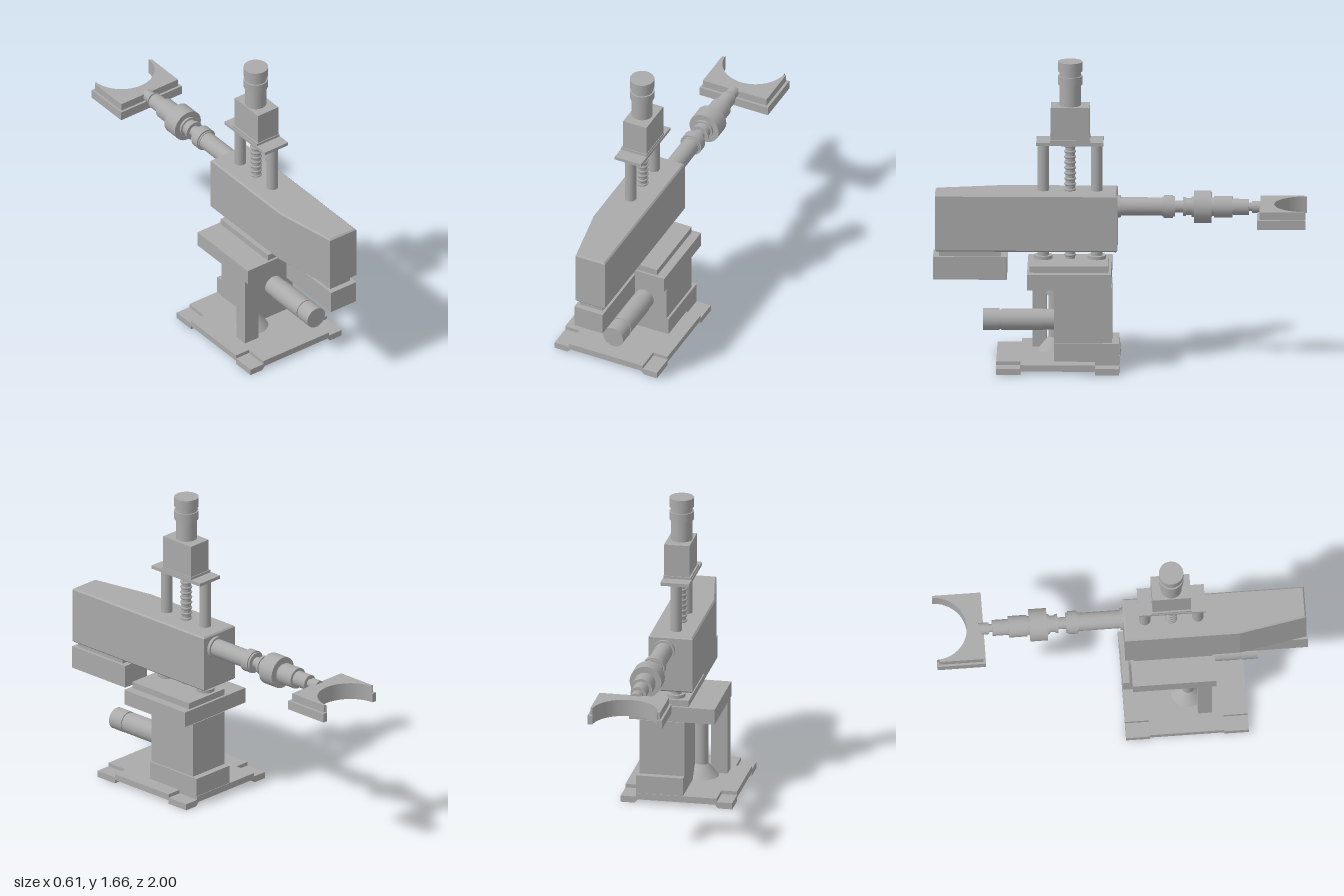
import * as THREE from 'three';

export function createModel() {
  const root = new THREE.Group();
  const grey = new THREE.MeshStandardMaterial({ color: 0xaaaaaa });
  grey.name = 'grey metal';

  const add = (name, geometry) => {
    const mesh = new THREE.Mesh(geometry, grey);
    mesh.name = name;
    root.add(mesh);
    return mesh;
  };
  // Box given by its limits on each axis
  const box = (name, [x0, x1], [y0, y1], [z0, z1]) => {
    const mesh = add(name, new THREE.BoxGeometry(x1 - x0, y1 - y0, z1 - z0));
    mesh.position.set((x0 + x1) / 2, (y0 + y1) / 2, (z0 + z1) / 2);
    return mesh;
  };
  // Upright cylinder or cone
  const post = (name, x, z, y0, y1, r, rTop = r) => {
    const mesh = add(name, new THREE.CylinderGeometry(rTop, r, y1 - y0, 32));
    mesh.position.set(x, (y0 + y1) / 2, z);
    return mesh;
  };
  // Cylinder lying along z
  const shaft = (name, x, y, z0, z1, r) => {
    const geometry = new THREE.CylinderGeometry(r, r, Math.abs(z1 - z0), 32).rotateX(Math.PI / 2);
    add(name, geometry).position.set(x, y, (z0 + z1) / 2);
  };
  // Plan outline (x, z) raised to a slab between two heights
  const slab = (name, shape, y0, y1, bevel = 0) => {
    const geometry = new THREE.ExtrudeGeometry(shape, {
      depth: y1 - y0 - 2 * bevel, curveSegments: 32, bevelEnabled: bevel > 0,
      bevelThickness: bevel, bevelSize: bevel, bevelOffset: -bevel, bevelSegments: 1,
    });
    geometry.rotateX(Math.PI / 2).translate(0, y1 - bevel, 0);
    return add(name, geometry);
  };

  // Base plate: cross-shaped slab with lower feet in the corners
  const cross = new THREE.Shape([
    [-0.22, 0], [0.22, 0], [0.22, 0.13], [0.305, 0.13], [0.305, 0.53], [0.22, 0.53],
    [0.22, 0.66], [-0.22, 0.66], [-0.22, 0.53], [-0.305, 0.53], [-0.305, 0.13], [-0.22, 0.13],
  ].map(([x, z]) => new THREE.Vector2(x, z)));
  slab('basePlate', cross, 0.02, 0.055);
  for (const s of [-1, 1]) {
    for (const end of [0, 1]) {
      const foot = box('foot', [-0.0475, 0.0475], [0, 0.035], [-0.065, 0.065]);
      // Slope the inner side of the foot
      const p = foot.geometry.attributes.position;
      for (let i = 0; i < p.count; i++) {
        if (p.getX(i) * s < 0) p.setX(i, -s * (p.getY(i) > 0 ? 0.06 : 0.03));
      }
      foot.geometry.computeVertexNormals();
      foot.position.set(s * 0.2575, 0.0175, end ? 0.595 : 0.065);
    }
  }

  // Pedestal
  box('pedestalFoot', [-0.035, 0.222], [0.055, 0.155], [0.003, 0.35]);
  box('pedestal', [-0.035, 0.21], [0.155, 0.46], [0.04, 0.35]);
  box('sideColumn', [-0.2, -0.11], [0.055, 0.46], [0.395, 0.47]);
  post('supportCone', -0.068, 0.35, 0.055, 0.125, 0.092, 0.036);
  post('supportRod', -0.068, 0.35, 0.12, 0.36, 0.036);
  post('supportSleeve', -0.068, 0.35, 0.355, 0.46, 0.045);

  // Horizontal drive motor
  shaft('driveMotor', 0.08, 0.253, 0.34, 0.41, 0.055);
  shaft('driveMotorBody', 0.08, 0.253, 0.41, 0.635, 0.058);
  shaft('driveMotorGroove', 0.08, 0.253, 0.635, 0.645, 0.053);
  shaft('driveMotorCap', 0.08, 0.253, 0.645, 0.733, 0.059);

  // Table plates
  box('tablePlate', [-0.2, 0.268], [0.46, 0.545], [0.045, 0.495]);
  box('upperPlate', [-0.055, 0.22], [0.545, 0.58], [0.06, 0.482]);

  // Guide rods with flanges, and the lead screw between them
  const cx = 0.027, cz = 0.267;
  for (const z of [0.125, 0.411]) {
    post('rodFlange', cx, z, 0.58, 0.598, 0.05);
    post('guideRod', cx, z, 0.58, 1.22, 0.031);
  }
  post('leadScrew', cx, cz, 0.58, 1.22, 0.026);
  for (let y = 0.6; y < 1.21; y += 0.03) {
    const ring = add('screwThread', new THREE.TorusGeometry(0.025, 0.008, 6, 24));
    ring.rotation.x = Math.PI / 2;
    ring.position.set(cx, y, cz);
  }

  // Top gearbox and lift motor
  box('gearboxPlate', [-0.05, 0.106], [1.216, 1.234], [0.088, 0.448]);
  box('gearboxFlange', [-0.047, 0.103], [1.234, 1.248], [0.157, 0.375]);
  box('gearbox', [-0.038, 0.1], [1.234, 1.425], [0.162, 0.37]);
  post('liftMotor', cx - 0.002, cz, 1.425, 1.54, 0.057);
  post('liftMotorRing', cx - 0.002, cz, 1.54, 1.587, 0.066);
  post('liftMotorNeck', cx - 0.002, cz, 1.587, 1.612, 0.058);
  post('liftMotorCap', cx - 0.002, cz, 1.612, 1.665, 0.066);

  // Arm housing, tapered on one side toward the front
  const plan = new THREE.Shape([
    [-0.086, 0.012], [0.155, 0.012], [0.155, 0.99], [-0.02, 0.99], [-0.086, 0.63],
  ].map(([x, z]) => new THREE.Vector2(x, z)));
  slab('armHousing', plan, 0.642, 0.955, 0.008);
  box('counterweightSpacer', [-0.004, 0.13], [0.605, 0.65], [0.64, 0.968]);
  box('counterweight', [-0.022, 0.147], [0.487, 0.612], [0.605, 1.0]);

  // Stepped gripper shaft: z start, z end, radius
  [
    [0.02, -0.005, 0.06], [0, -0.235, 0.049], [-0.228, -0.236, 0.053], [-0.236, -0.285, 0.062],
    [-0.285, -0.296, 0.055], [-0.29, -0.345, 0.032], [-0.34, -0.355, 0.052], [-0.35, -0.4, 0.045],
    [-0.385, -0.4, 0.055], [-0.398, -0.492, 0.087], [-0.49, -0.505, 0.05], [-0.505, -0.605, 0.058],
    [-0.605, -0.692, 0.043], [-0.69, -0.712, 0.022], [-0.71, -0.765, 0.032],
  ].forEach(([z0, z1, r]) => shaft('gripperShaft', 0.07, 0.877, z0, z1, r));

  // Gripper jaw: two stacked slabs with a half-round cut-out
  const jaw = (name, x0, x1, zBack, zTip, y0, y1) => {
    const mid = 0.081, r = 0.177;
    const s = new THREE.Shape();
    s.moveTo(x0, zBack);
    s.lineTo(x0, zTip);
    s.lineTo(mid - r, zTip);
    s.absarc(mid, -1.005, r, Math.PI - 0.03, 0.03, true);
    s.lineTo(mid + r, zTip);
    s.lineTo(x1, zTip);
    s.lineTo(x1, zBack);
    slab(name, s, y0, y1);
  };
  jaw('jawLower', -0.122, 0.285, -0.738, -1, 0.803, 0.853);
  jaw('jawUpper', -0.11, 0.27, -0.752, -0.988, 0.853, 0.895);

  return root;
}
